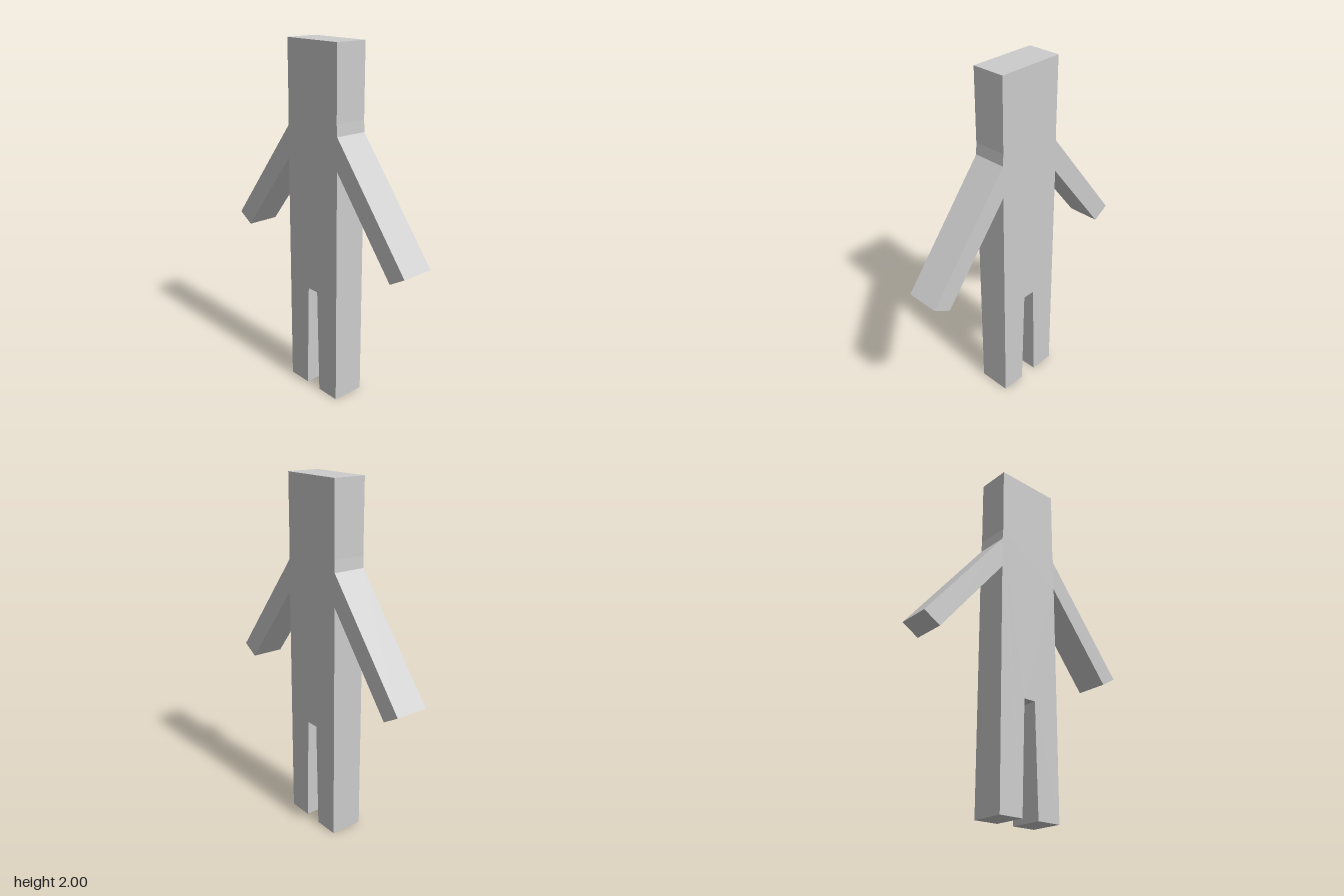
import * as THREE from 'three';

const DEPTH = 0.19;

// Flat slab with the given outline, centred on z = 0
function slab(name, points, material) {
  const shape = new THREE.Shape(points.map(([x, y]) => new THREE.Vector2(x, y)));
  const geometry = new THREE.ExtrudeGeometry(shape, { depth: DEPTH, bevelEnabled: false });
  geometry.translate(0, 0, -DEPTH / 2);
  const mesh = new THREE.Mesh(geometry, material);
  mesh.name = name;
  return mesh;
}

const mirrorX = (points) => points.map(([x, y]) => [-x, y]).reverse();

export function createModel() {
  const grey = new THREE.MeshStandardMaterial({ color: 0xcccccc });
  grey.name = 'light grey';

  const model = new THREE.Group();
  model.name = 'figure';

  // Head, torso and legs: left half of the outline, from crotch to crown
  const half = [
    [0.037, 0.62], [0.053, 0], [0.198, 0], [0.198, 1.355],
    [0.198, 1.535], [0.194, 1.6], [0.194, 2],
  ];
  model.add(slab('body', [...half, ...mirrorX(half)], grey));

  // Arms slanting down and outward from the shoulders
  const arm = [[0.198, 1.355], [0.593, 0.86], [0.69, 0.917], [0.198, 1.535]];
  model.add(slab('leftArm', arm, grey));
  model.add(slab('rightArm', mirrorX(arm), grey));

  return model;
}
